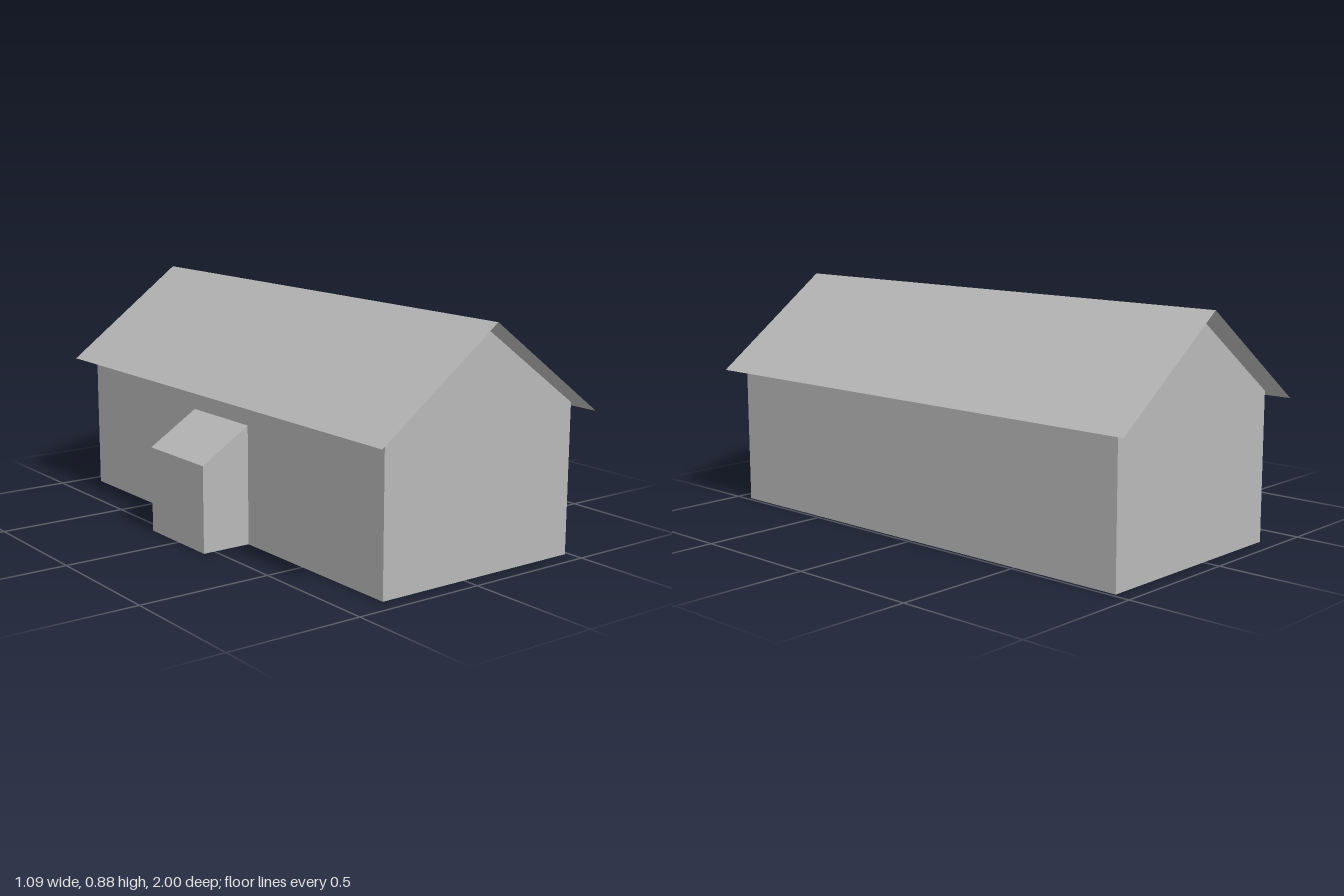
import * as THREE from 'three';

// Flat open sheet through convex rings of corners
function sheet(name, polygons, material) {
  const pos = [];
  for (const p of polygons)
    for (let i = 1; i < p.length - 1; i++) pos.push(...p[0], ...p[i], ...p[i + 1]);
  const g = new THREE.BufferGeometry();
  g.setAttribute('position', new THREE.Float32BufferAttribute(pos, 3));
  g.computeVertexNormals();
  const mesh = new THREE.Mesh(g, material);
  mesh.name = name;
  return mesh;
}

// Sweep a counter-clockwise x/y line along z, one quad per segment
function sweep(line, z0, z1) {
  return line.slice(1).map(([bx, by], i) => {
    const [ax, ay] = line[i];
    return [[ax, ay, z1], [ax, ay, z0], [bx, by, z0], [bx, by, z1]];
  });
}

// End faces at both z limits, each facing outward
function ends(outline, z0, z1) {
  return [
    outline.map(([x, y]) => [x, y, z1]),
    outline.map(([x, y]) => [x, y, z0]).reverse(),
  ];
}

export function createModel() {
  const grey = new THREE.MeshStandardMaterial({ color: 0xb8b8b8, side: THREE.DoubleSide });
  const house = new THREE.Group();
  house.name = 'house';

  // Main walls: two gables and two long sides, open underneath
  const left = 0.485, right = -0.353, eave = 0.552, z = 0.935;
  const gable = [[right, 0], [left, 0], [left, eave], [0.064, 0.857], [right, eave]];
  house.add(sheet('walls', [
    ...ends(gable, -z, z),
    ...sweep([[left, 0], [left, eave]], -z, z),
    ...sweep([[right, eave], [right, 0]], -z, z),
  ], grey));

  // Thin roof slopes overhanging every wall
  const ridge = [0.062, 0.878];
  house.add(sheet('leftRoof', sweep([[0.541, 0.525], ridge], -1, 1), grey));
  house.add(sheet('rightRoof', sweep([ridge, [-0.417, 0.525]], -1, 1), grey));

  // Small lean-to against the right wall
  const out = -0.545, z0 = -0.18, z1 = 0.172;
  const profile = [[out, 0], [right, 0], [right, 0.442], [out, 0.321]];
  house.add(sheet('annexWalls', [
    ...ends(profile, z0, z1),
    ...sweep([[out, 0.321], [out, 0]], z0, z1),
  ], grey));
  house.add(sheet('annexRoof', sweep([[right + 0.004, 0.4445], [out, 0.321]], z0, z1), grey));

  return house;
}
